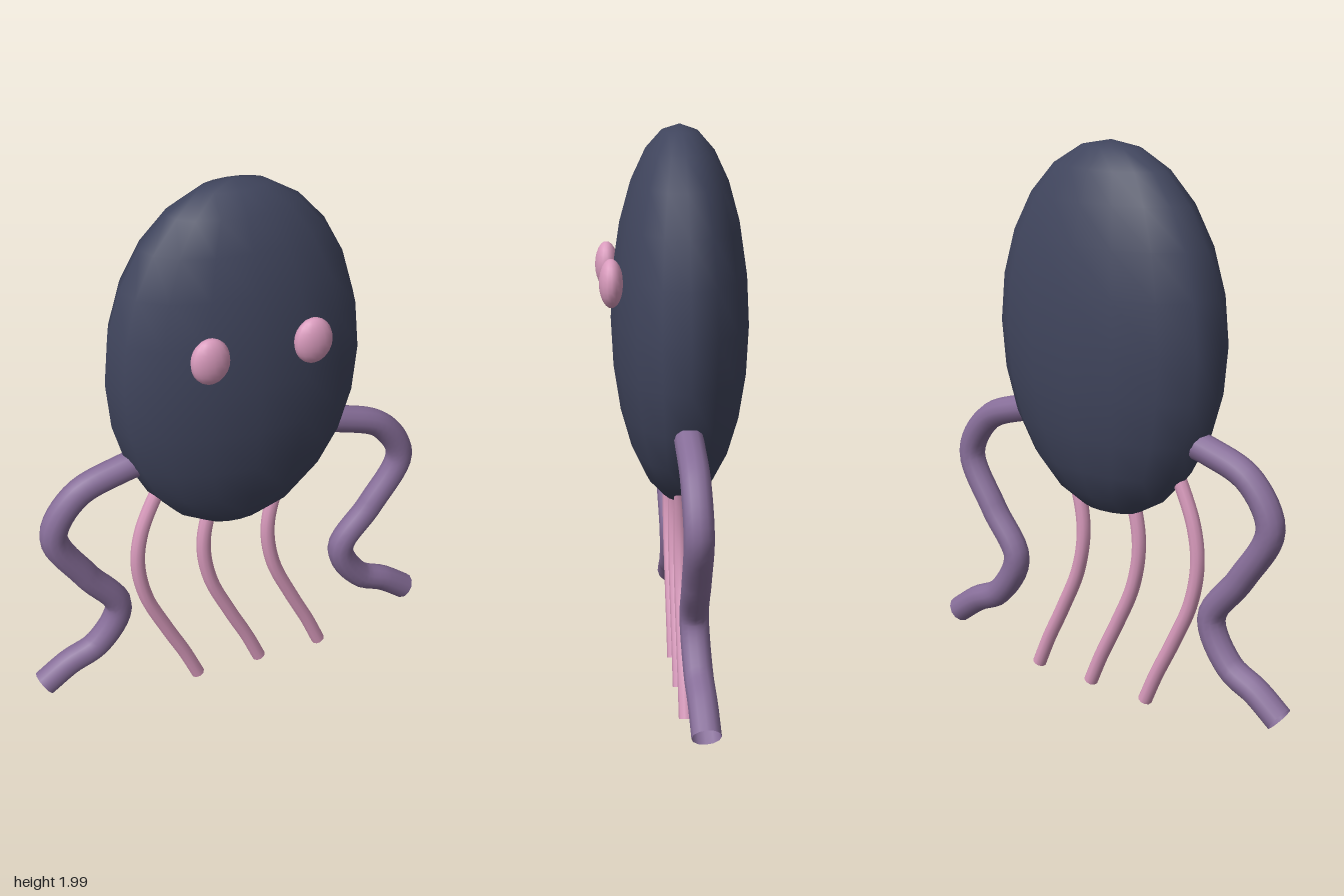
import * as THREE from 'three';

export function createModel() {
  const model = new THREE.Group();

  const navy = new THREE.MeshStandardMaterial({ color: 0x40455d });
  navy.name = 'navy';
  const purple = new THREE.MeshStandardMaterial({ color: 0x876e99, side: THREE.DoubleSide });
  purple.name = 'purple';
  const pink = new THREE.MeshStandardMaterial({ color: 0xd99bbd, side: THREE.DoubleSide });
  pink.name = 'pink';

  const add = (name, geometry, material) => {
    const mesh = new THREE.Mesh(geometry, material);
    mesh.name = name;
    model.add(mesh);
    return mesh;
  };

  // Smooth ellipsoid with given centre and radii
  const ellipsoid = (name, centre, radii, w, h, material) => {
    const mesh = add(name, new THREE.SphereGeometry(1, w, h), material);
    mesh.scale.set(...radii);
    mesh.position.set(...centre);
  };

  // Open-ended tube through a few points
  const tube = (name, points, radius, sides, material) => {
    const curve = new THREE.CatmullRomCurve3(points.map((p) => new THREE.Vector3(...p)));
    add(name, new THREE.TubeGeometry(curve, 48, radius, sides), material);
  };

  // Flattened egg-shaped body
  ellipsoid('body', [0, 1.35, -0.025], [0.457, 0.65, 0.235], 16, 12, navy);

  // Eyes and thick wavy arms, mirrored left and right
  const armPath = [
    [0.3, 1.03, -0.025], [0.42, 1.005, -0.025], [0.58, 0.94, -0.027],
    [0.668, 0.79, -0.03], [0.56, 0.59, -0.033], [0.445, 0.42, -0.037],
    [0.53, 0.265, -0.043], [0.64, 0.208, -0.047], [0.737, 0.138, -0.05],
  ];
  for (const [side, s] of [['left', 1], ['right', -1]]) {
    ellipsoid(side + 'Eye', [s * 0.18, 1.5, 0.215], [0.067, 0.081, 0.04], 16, 12, pink);
    tube(side + 'Arm', armPath.map(([x, y, z]) => [s * x, y, z]), 0.049, 12, purple);
  }

  // Three thin parallel tentacles
  const tentaclePath = [
    [-0.25, 0.95], [-0.305, 0.85], [-0.355, 0.72], [-0.371, 0.59],
    [-0.345, 0.44], [-0.27, 0.27], [-0.2, 0.13], [-0.15, 0.015],
  ];
  ['right', 'middle', 'left'].forEach((side, i) => {
    tube(side + 'Tentacle', tentaclePath.map(([x, y]) => [x + i * 0.252, y, -0.02]), 0.026, 10, pink);
  });

  return model;
}
